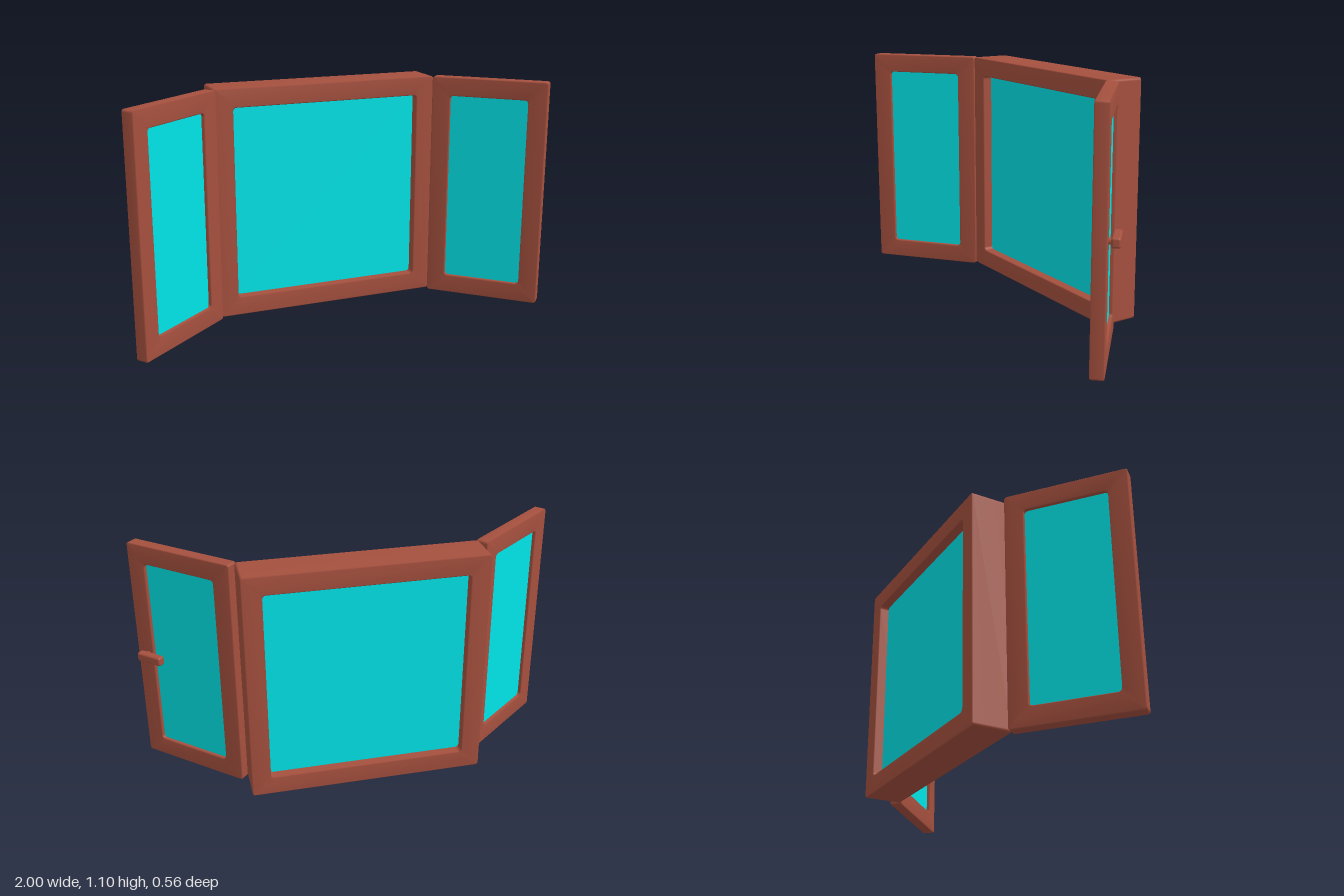
import * as THREE from 'three';
import { RoundedBoxGeometry } from 'three/addons/geometries/RoundedBoxGeometry.js';

const wood = new THREE.MeshStandardMaterial({ color: 0xa5503e });
wood.name = 'reddish brown wood';
const glass = new THREE.MeshStandardMaterial({ color: 0x00e6e9 });
glass.name = 'turquoise glass';

// Points of a rounded rectangle centred on the origin, counter-clockwise
function roundedLoop(w, h, r) {
  const steps = 4;
  const points = [];
  [[1, 1], [-1, 1], [-1, -1], [1, -1]].forEach(([sx, sy], corner) => {
    for (let i = 0; i <= steps; i++) {
      const a = (corner + i / steps) * Math.PI / 2;
      points.push([sx * (w / 2 - r) + r * Math.cos(a), sy * (h / 2 - r) + r * Math.sin(a)]);
    }
  });
  return points;
}

// Picture-frame solid: a bevelled profile swept round the opening
function frameGeometry(w, h, depth, border) {
  const d = depth / 2, b = 0.005;
  const profile = [ // inset from the outer edge, z, corner radius
    [0, -d + b, 0.012], [0, d - b, 0.012], [b, d, 0.008], [border - b, d, 0.02],
    [border, d - b, 0.016], [border, -d + b, 0.016], [border - b, -d, 0.02], [b, -d, 0.008],
  ];
  const positions = [], index = [];
  for (const [inset, z, r] of profile) {
    for (const [x, y] of roundedLoop(w - 2 * inset, h - 2 * inset, r)) positions.push(x, y, z);
  }
  const rows = profile.length, cols = positions.length / 3 / rows;
  for (let row = 0; row < rows; row++) {
    const next = (row + 1) % rows;
    for (let col = 0; col < cols; col++) {
      const side = (col + 1) % cols;
      const p = row * cols + col, q = row * cols + side;
      const s = next * cols + side, t = next * cols + col;
      index.push(p, q, s, p, s, t);
    }
  }
  const geometry = new THREE.BufferGeometry();
  geometry.setAttribute('position', new THREE.Float32BufferAttribute(positions, 3));
  geometry.setIndex(index);
  geometry.computeVertexNormals();
  return geometry;
}

function addMesh(parent, name, geometry, material) {
  const mesh = new THREE.Mesh(geometry, material);
  mesh.name = name;
  parent.add(mesh);
  return mesh;
}

// A frame with glass set inside its opening
function framedPane(name, w, h, depth, border, glassDepth) {
  const group = new THREE.Group();
  group.name = name;
  addMesh(group, name + 'Frame', frameGeometry(w, h, depth, border), wood);
  const overlap = 0.02;
  addMesh(group, name + 'Glass', new THREE.BoxGeometry(
    w - 2 * border + overlap, h - 2 * border + overlap, glassDepth), glass);
  return group;
}

export function createModel() {
  const model = new THREE.Group();
  model.name = 'foldingWindow';

  // Thick fixed window in the middle
  const centre = framedPane('centreWindow', 1.096, 1.094, 0.182, 0.089, 0.09);
  centre.position.set(0.006, 0.554, -0.192);
  model.add(centre);

  // Thin casements, swung open towards the front
  const casements = [
    { name: 'rightCasement', x: -0.768, z: 0.059, angle: 39.2 },
    { name: 'leftCasement', x: 0.769, z: 0.073, angle: -42.5 },
  ];
  for (const { name, x, z, angle } of casements) {
    const casement = framedPane(name, 0.557, 1.1, 0.06, 0.09, 0.026);
    casement.position.set(x, 0.551, z);
    casement.rotation.y = THREE.MathUtils.degToRad(angle);
    model.add(casement);

    // Handle on the outer face of the left casement
    if (name === 'leftCasement') {
      const handle = new THREE.Group();
      handle.name = 'handle';
      const lever = addMesh(handle, 'handleLever',
        new RoundedBoxGeometry(0.132, 0.043, 0.038, 3, 0.01), wood);
      lever.position.set(0.18, 0.002, -0.06);
      const stem = addMesh(handle, 'handleStem',
        new THREE.CylinderGeometry(0.014, 0.014, 0.03, 16), wood);
      stem.rotation.x = Math.PI / 2;
      stem.position.set(0.215, 0.002, -0.038);
      casement.add(handle);
    }
  }
  return model;
}
